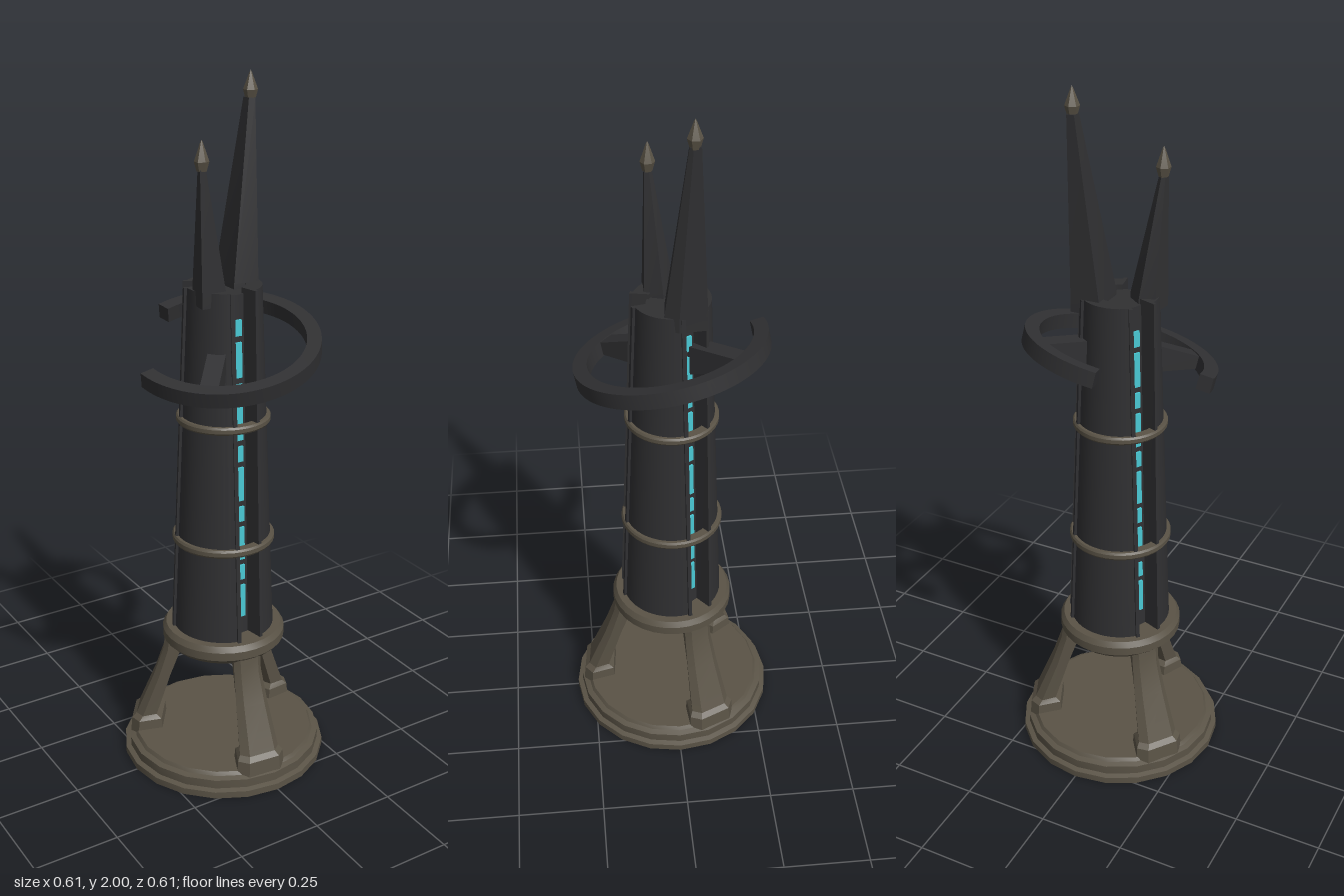
import * as THREE from 'three';
import { toCreasedNormals } from 'three/addons/utils/BufferGeometryUtils.js';

const stone = new THREE.MeshStandardMaterial({ color: 0x5a5346 });
stone.name = 'weathered bronze';
const dark = new THREE.MeshStandardMaterial({ color: 0x303032 });
dark.name = 'dark metal';
const glow = new THREE.MeshStandardMaterial({ color: 0x48c6d2 });
glow.name = 'cyan light';

const RAD = Math.PI / 180;
const lerp = THREE.MathUtils.lerp;

function add(parent, name, geo, mat, crease = 0.5) {
  const mesh = new THREE.Mesh(toCreasedNormals(geo, crease), mat);
  mesh.name = name;
  parent.add(mesh);
  return mesh;
}

// Solid through stacked outlines: each section is { y, pts: [[x, z], ...] }, counter-clockwise from above
function loft(sections) {
  const n = sections[0].pts.length, pos = [], idx = [];
  for (const s of sections) for (const [x, z] of s.pts) pos.push(x, s.y, z);
  for (let k = 0; k < sections.length - 1; k++) {
    for (let i = 0; i < n; i++) {
      const a = k * n + i, b = k * n + (i + 1) % n;
      idx.push(a, b, b + n, a, b + n, a + n);
    }
  }
  const cap = (s, o, flip) => {
    const flat = s.pts.map(([x, z]) => new THREE.Vector2(x, -z));
    for (const [a, b, c] of THREE.ShapeUtils.triangulateShape(flat, [])) {
      if (flip) idx.push(o + a, o + c, o + b);
      else idx.push(o + a, o + b, o + c);
    }
  };
  cap(sections[0], 0, true);
  cap(sections[sections.length - 1], (sections.length - 1) * n, false);
  const g = new THREE.BufferGeometry();
  g.setAttribute('position', new THREE.Float32BufferAttribute(pos, 3));
  g.setIndex(idx);
  return g;
}

function lathe(profile, sides) {
  return new THREE.LatheGeometry(profile.map(([r, y]) => new THREE.Vector2(r, y)), sides);
}

const coreR = y => 0.1 - (y - 0.48) * 0.0333;
const shellR = y => lerp(0.147, 0.106, (y - 0.42) / 1.03);

// Outline of one wall panel with raised ribs along its slot edges
function panelOutline(y) {
  const R = shellR(y), rib = R + 0.008, inner = coreR(y) - 0.006;
  const edge = Math.PI / 3 - Math.asin(0.03 / R);
  const ribIn = Math.PI / 3 - Math.asin(0.04 / R);
  const innerEdge = Math.PI / 3 - Math.asin(0.022 / inner);
  const pts = [];
  const put = (r, a) => pts.push([r * Math.sin(a), r * Math.cos(a)]);
  put(rib, -edge);
  put(rib, -ribIn);
  for (let i = 0; i <= 12; i++) put(R, lerp(-ribIn, ribIn, i / 12));
  put(rib, ribIn);
  put(rib, edge);
  for (let i = 0; i <= 6; i++) put(inner, lerp(innerEdge, -innerEdge, i / 6));
  return { y, pts };
}

// Leg cross-section with bevelled outer corners
function legSection(y, outer, inner, w, wi) {
  const b = w * 0.35;
  return { y, pts: [[-w, outer - b], [-w + b, outer], [w - b, outer], [w, outer - b], [wi, inner], [-wi, inner]] };
}

function horn(parent, name, base, y0, y1, tipX, tipZ, topScale, top) {
  const cx = base.reduce((s, p) => s + p[0], 0) / base.length;
  const cz = base.reduce((s, p) => s + p[1], 0) / base.length;
  const g = new THREE.Group();
  g.name = name;
  add(g, 'hornBlade', loft([
    { y: y0, pts: base },
    { y: y0 + 0.04, pts: base },
    { y: y1, pts: base.map(([x, z]) => [tipX + (x - cx) * topScale, tipZ + (z - cz) * topScale]) },
  ]), dark, 0.3);
  const tip = add(g, 'hornTip', lathe([[0, y1 - 0.005], [0.013, y1 - 0.005], [0.02, y1 + 0.02], [0.004, top - 0.008], [0, top]], 6), stone, 0.3);
  tip.position.set(tipX, 0, tipZ);
  parent.add(g);
}

export function createModel() {
  const model = new THREE.Group();
  model.name = 'tower';

  // Stepped plinth
  add(model, 'plinth', lathe([
    [0, 0], [0.303, 0], [0.303, 0.02], [0.288, 0.024], [0.288, 0.05],
    [0.272, 0.055], [0.265, 0.065], [0, 0.065],
  ], 20), stone);

  // Three splayed legs
  for (let i = 0; i < 3; i++) {
    const leg = add(model, 'leg', loft([
      legSection(0.04, 0.28, 0.18, 0.077, 0.052),
      legSection(0.095, 0.275, 0.185, 0.073, 0.05),
      legSection(0.108, 0.262, 0.2, 0.062, 0.045),
      legSection(0.24, 0.208, 0.158, 0.05, 0.035),
      legSection(0.33, 0.178, 0.125, 0.043, 0.03),
      legSection(0.38, 0.172, 0.11, 0.043, 0.03),
    ]), stone, 0.3);
    leg.rotation.y = (-6 + 120 * i) * RAD;
  }

  // Collar under the shaft
  add(model, 'collar', lathe([
    [0, 0.365], [0.162, 0.365], [0.18, 0.383], [0.18, 0.408], [0.17, 0.424], [0, 0.424],
  ], 32), stone);

  // Shaft core
  add(model, 'core', lathe([[0, 0.42], [coreR(0.42), 0.42], [coreR(1.435), 1.435], [0, 1.435]], 36), dark);

  // Wall panels and light strips between them
  for (let i = 0; i < 3; i++) {
    const panel = add(model, 'wallPanel', loft([panelOutline(0.42), panelOutline(1.45)]), dark);
    panel.rotation.y = (60 + 120 * i) * RAD;

    const strip = new THREE.Group();
    strip.name = 'lightStrip';
    strip.rotation.y = 120 * i * RAD;
    let y = 0.48;
    for (let k = 0; k < 10; k++) {
      const h = k % 2 ? 0.045 : 0.1;
      const dash = add(strip, 'light', new THREE.BoxGeometry(0.022, h, 0.008), glow);
      dash.position.set(0, y + h / 2, coreR(y + h / 2) + 0.002);
      dash.rotation.x = -0.033;
      y += h + 0.018;
    }
    model.add(strip);
  }

  // Bands around the shaft
  for (const [y, h] of [[0.705, 0.024], [1.07, 0.022]]) {
    const r = shellR(y) + 0.012, inner = shellR(y) - 0.015;
    add(model, 'band', lathe([
      [inner, y - h / 2], [r - 0.004, y - h / 2], [r, y - h / 4], [r, y + h / 4],
      [r - 0.004, y + h / 2], [inner, y + h / 2], [inner, y - h / 2],
    ], 36), stone);
  }

  // Tilted open halo with two supporting arms
  const halo = new THREE.Group();
  halo.name = 'halo';
  halo.position.y = 1.275;
  halo.quaternion.setFromUnitVectors(new THREE.Vector3(0, 1, 0), new THREE.Vector3(-0.17, 1, 0.2).normalize());
  const a0 = 184 * RAD, a1 = 461 * RAD;
  const arc = new THREE.Shape();
  arc.absarc(0, 0, 0.27, a0, a1, false);
  arc.absarc(0, 0, 0.23, a1, a0, true);
  const ring = new THREE.ExtrudeGeometry(arc, { depth: 0.044, bevelEnabled: false, curveSegments: 40 });
  ring.rotateX(-Math.PI / 2).translate(0, -0.022, 0);
  add(halo, 'haloRing', ring, dark);
  for (const theta of [140, -41]) {
    const side = new THREE.Shape([[0.06, -0.045], [0.235, -0.018], [0.235, 0.018], [0.06, 0.045]].map(p => new THREE.Vector2(...p)));
    const armGeo = new THREE.ExtrudeGeometry(side, { depth: 0.05, bevelEnabled: false });
    armGeo.translate(0, 0, -0.025);
    add(halo, 'haloArm', armGeo, dark).rotation.y = (theta - 90) * RAD;
  }
  model.add(halo);

  // Two uneven horns on the crown
  horn(model, 'shortHorn', [[-0.108, 0.07], [-0.035, 0.07], [-0.02, 0.02], [-0.06, -0.012], [-0.1, 0.005]],
    1.41, 1.775, -0.097, 0.052, 0.24, 1.85);
  horn(model, 'tallHorn', [[0.022, 0.02], [0.095, 0.028], [0.112, -0.01], [0.105, -0.085], [0.022, -0.083]],
    1.41, 1.93, 0.112, -0.045, 0.26, 2.0);

  return model;
}
